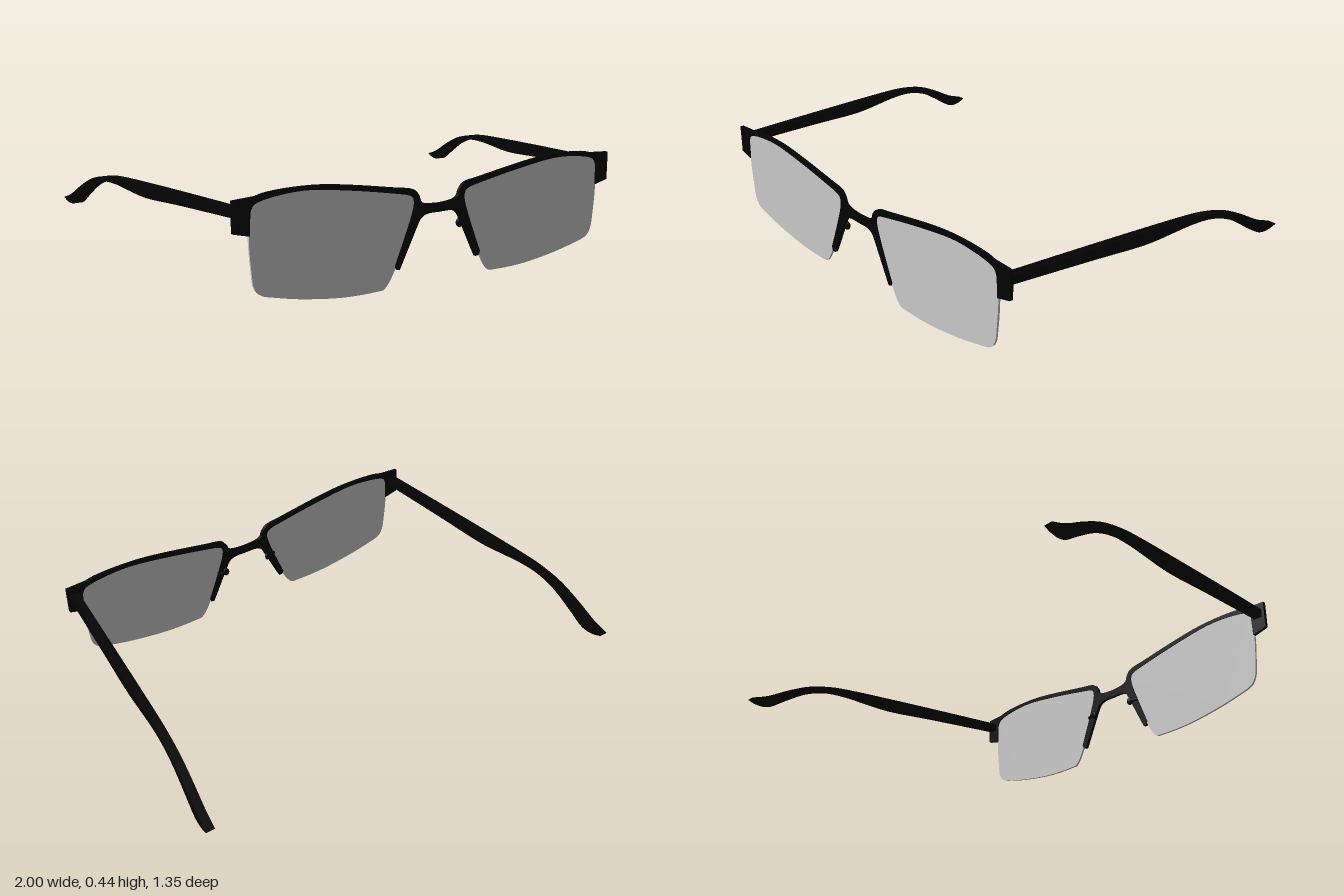
import * as THREE from 'three';
import { toCreasedNormals } from 'three/addons/utils/BufferGeometryUtils.js';

const frameMat = new THREE.MeshStandardMaterial({ color: 0x040404 });
const lensMat = new THREE.MeshStandardMaterial({ color: 0xc2c2c2 });

// Smooth run of points through [x, y] pairs, mirrored by the sign s
function smooth(pairs, s, steps = 5) {
  const pts = pairs.map(([x, y]) => new THREE.Vector2(s * x, y));
  return new THREE.SplineCurve(pts).getPoints((pts.length - 1) * steps);
}

function slab(points, depth, z) {
  const geo = new THREE.ExtrudeGeometry(new THREE.Shape(points), { depth, bevelEnabled: false });
  geo.translate(0, 0, z);
  return toCreasedNormals(geo, 0.6);
}

function add(group, name, geo, mat) {
  const mesh = new THREE.Mesh(geo, mat);
  mesh.name = name;
  group.add(mesh);
  return mesh;
}

// Lens outline, from the inner top corner outwards and round
const lensTop = [[0.11, 0.318], [0.122, 0.348], [0.17, 0.37], [0.38, 0.405],
  [0.57, 0.428], [0.70, 0.424], [0.785, 0.41], [0.814, 0.385]];
const lensRest = [[0.818, 0.27], [0.809, 0.15], [0.8, 0.1], [0.775, 0.069], [0.72, 0.052],
  [0.6, 0.026], [0.435, 0.004], [0.285, 0.001], [0.243, 0.012], [0.2, 0.08], [0.135, 0.225],
  [0.11, 0.318]];

// Frame half: upper edge, then the end piece, rim underside, nose bar and bridge underside
const frameUpper = [[0, 0.306], [0.055, 0.31], [0.085, 0.322], [0.098, 0.35], [0.125, 0.374],
  [0.2, 0.387], [0.38, 0.417], [0.52, 0.435], [0.64, 0.439], [0.74, 0.434], [0.79, 0.424]];
const endPiece = [[0.88, 0.419], [0.88, 0.303], [0.815, 0.287]];
const rimUnder = [[0.812, 0.37], [0.79, 0.4], [0.70, 0.418], [0.57, 0.422], [0.38, 0.397],
  [0.2, 0.365], [0.14, 0.351], [0.121, 0.332], [0.125, 0.29], [0.16, 0.195], [0.204, 0.088]];
const noseBarOuter = [[0.198, 0.074], [0.185, 0.072], [0.175, 0.086], [0.104, 0.228],
  [0.083, 0.26], [0.05, 0.272], [0, 0.272]];

// Temple profile as [z, y]
const templeTop = [[0.667, 0.389], [0.3, 0.379], [0, 0.369], [-0.2, 0.36], [-0.3, 0.349],
  [-0.4, 0.325], [-0.5, 0.281], [-0.6, 0.227], [-0.675, 0.2]];
const templeBottom = [[-0.675, 0.199], [-0.64, 0.187], [-0.6, 0.184], [-0.56, 0.196],
  [-0.5, 0.236], [-0.4, 0.296], [-0.3, 0.328], [-0.2, 0.334], [-0.1, 0.328], [0, 0.321],
  [0.1, 0.322], [0.3, 0.335], [0.667, 0.354]];

function templeGeometry(s) {
  const width = 0.037;
  const pts = [...smooth(templeTop, 1), ...smooth(templeBottom, 1).slice(1)];
  const geo = new THREE.ExtrudeGeometry(new THREE.Shape(pts), { depth: width, bevelEnabled: false });
  geo.translate(0, 0, -width / 2);
  geo.rotateY(-Math.PI / 2);
  // Splay the arm outwards towards its tip
  const p = geo.attributes.position;
  for (let i = 0; i < p.count; i++) {
    p.setX(i, p.getX(i) + s * (0.848 + (0.667 - p.getZ(i)) * 0.1));
  }
  return toCreasedNormals(geo, 0.6);
}

export function createModel() {
  const model = new THREE.Group();
  model.name = 'eyeglasses';

  for (const [side, s] of [['left', 1], ['right', -1]]) {
    const half = new THREE.Group();
    half.name = side + 'Half';
    model.add(half);

    // Lens
    const lens = [...smooth(lensTop, s), ...smooth([lensTop.at(-1), ...lensRest], s).slice(1, -1)];
    add(half, side + 'Lens', slab(lens, 0.009, 0.664), lensMat);

    // Half rim, end piece, nose bar and half of the bridge
    const frame = [
      ...smooth(frameUpper, s),
      ...endPiece.map(([x, y]) => new THREE.Vector2(s * x, y)),
      ...smooth(rimUnder, s),
      ...smooth(noseBarOuter, s),
    ];
    add(half, side + 'Frame', slab(frame, 0.015, 0.661), frameMat);

    // Nose pad on a short bent arm behind the frame
    const arm = new THREE.CatmullRomCurve3([[0.155, 0.213, 0.664], [0.135, 0.212, 0.656],
      [0.115, 0.212, 0.652]].map(([x, y, z]) => new THREE.Vector3(s * x, y, z)));
    add(half, side + 'NosePadArm', new THREE.TubeGeometry(arm, 8, 0.008, 8), frameMat);
    const pad = add(half, side + 'NosePad', new THREE.SphereGeometry(1, 16, 10), frameMat);
    pad.scale.set(0.015, 0.019, 0.009);
    pad.position.set(s * 0.114, 0.212, 0.655);
    pad.rotation.y = s * -0.4;

    // Temple
    add(half, side + 'Temple', templeGeometry(s), frameMat);
  }
  return model;
}
